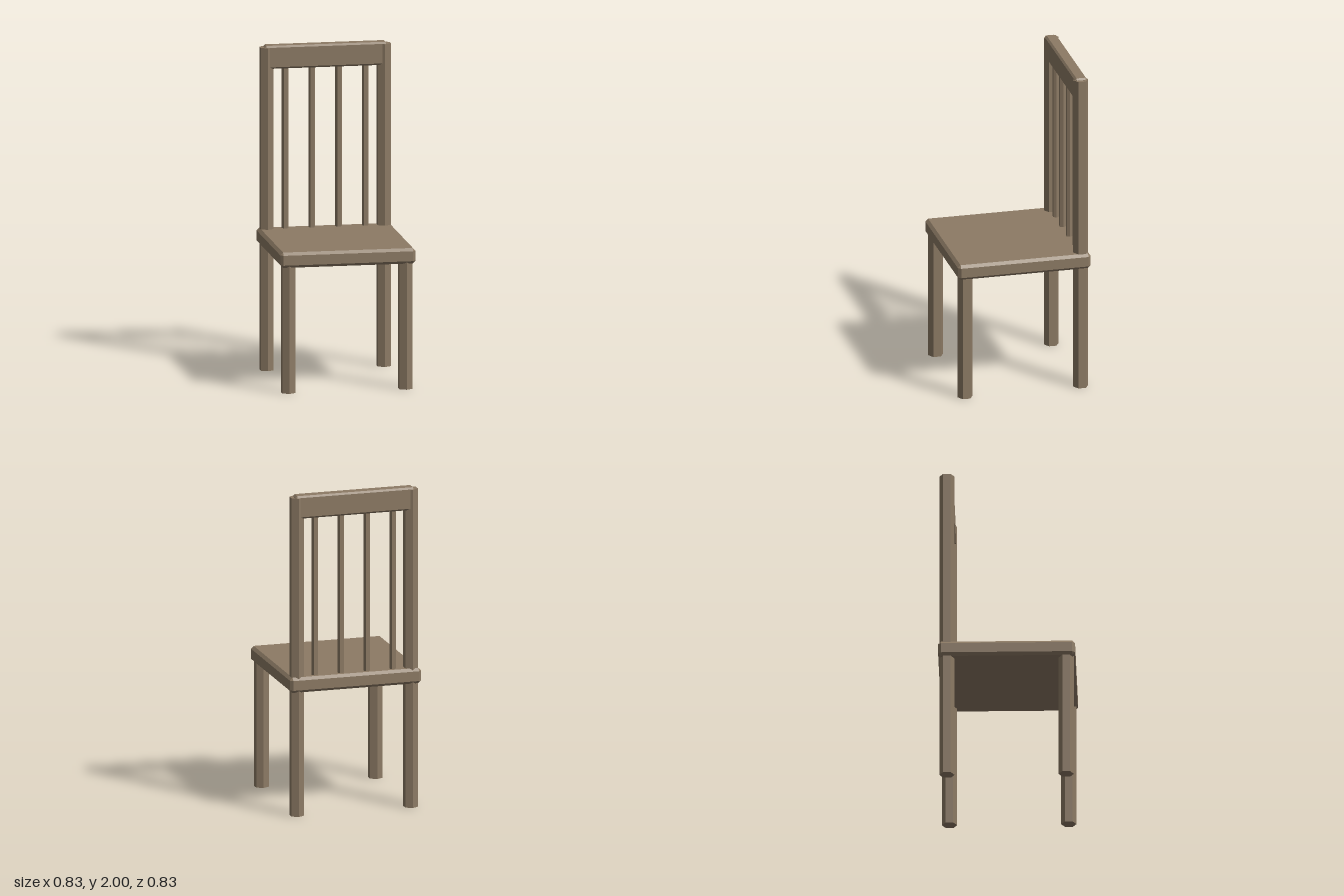
import * as THREE from 'three';
import { ConvexGeometry } from 'three/addons/geometries/ConvexGeometry.js';

// Box with one flat chamfer along every edge
function chamferedBox(w, h, d, c) {
  const points = [];
  for (const x of [-1, 1]) for (const y of [-1, 1]) for (const z of [-1, 1]) {
    points.push(
      new THREE.Vector3(x * w / 2, y * (h / 2 - c), z * (d / 2 - c)),
      new THREE.Vector3(x * (w / 2 - c), y * h / 2, z * (d / 2 - c)),
      new THREE.Vector3(x * (w / 2 - c), y * (h / 2 - c), z * d / 2));
  }
  return new ConvexGeometry(points);
}

export function createModel() {
  const chair = new THREE.Group();
  chair.name = 'chair';
  const wood = new THREE.MeshStandardMaterial({ name: 'brown wood', color: 0x8c7a64, flatShading: true });

  function add(name, geometry, x, y, z) {
    const mesh = new THREE.Mesh(geometry, wood);
    mesh.name = name;
    mesh.position.set(x, y, z);
    chair.add(mesh);
    return mesh;
  }

  // Upright six-sided bar between two heights
  function bar(name, radius, x, z, bottom, top) {
    return add(name, new THREE.CylinderGeometry(radius, radius, top - bottom, 6), x, (bottom + top) / 2, z);
  }

  // Seat
  add('seat', chamferedBox(0.83, 0.095, 0.828, 0.017), 0, 0.823, 0);

  // Front legs, and back posts that run up past the seat
  for (const side of [-1, 1]) {
    const label = side > 0 ? 'left' : 'right';
    bar(label + 'FrontLeg', 0.046, side * 0.36, 0.36, 0, 0.8);
    bar(label + 'BackPost', 0.046, side * 0.36, -0.361, 0, 1.988);
  }

  // Top rail
  add('topRail', chamferedBox(0.754, 0.142, 0.076, 0.011), 0, 1.929, -0.361);

  // Back spindles, turned so a flat faces forward
  [-0.246, -0.082, 0.082, 0.246].forEach((x, i) => {
    bar('spindle' + (i + 1), 0.021, x, -0.361, 0.85, 1.88).rotation.y = Math.PI / 6;
  });

  return chair;
}
